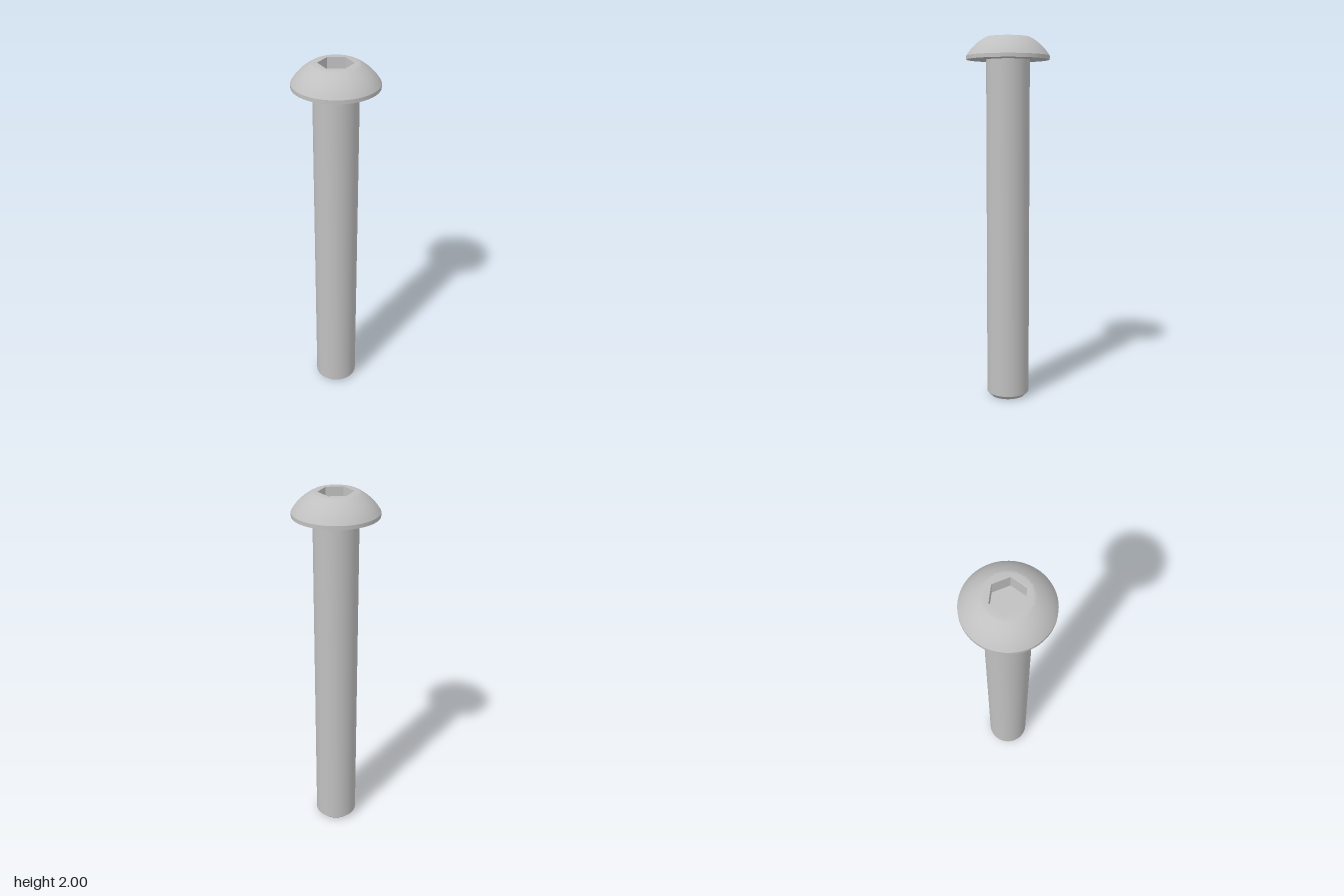
import * as THREE from 'three';
import { mergeGeometries, toCreasedNormals } from 'three/addons/utils/BufferGeometryUtils.js';

const SEGMENTS = 64;
const CREASE = Math.PI / 6;

const lathe = (points, segments = SEGMENTS, start = 0) =>
  new THREE.LatheGeometry(points.map(([r, y]) => new THREE.Vector2(r, y)), segments, start);

const ring = (radius, count) => Array.from({ length: count }, (_, i) => {
  const a = (i / count) * Math.PI * 2;
  return new THREE.Vector2(radius * Math.cos(a), radius * Math.sin(a));
});

export function createModel() {
  const steel = new THREE.MeshStandardMaterial({ color: 0xc0c0c0 });
  steel.name = 'steel';
  const model = new THREE.Group();
  model.name = 'buttonHeadScrew';

  const add = (name, geometry) => {
    const mesh = new THREE.Mesh(toCreasedNormals(geometry, CREASE), steel);
    mesh.name = name;
    model.add(mesh);
  };

  const shankR = 0.118, headR = 0.225, topR = 0.116, socketR = 0.091;
  const headY = 1.88, rimY = 1.9, topY = 2, floorY = 1.92;

  // Shank with a chamfered tip
  add('shank', lathe([[0, 0], [0.096, 0], [shankR, 0.022], [shankR, headY]]));

  // Head: flat underside, short rim, and a dome arc centred on the axis
  const centreY = 1.764;
  const domeR = Math.hypot(topR, topY - centreY);
  const a0 = Math.atan2(rimY - centreY, headR);
  const a1 = Math.atan2(topY - centreY, topR);
  const profile = [[shankR, headY], [headR, headY], [headR, rimY]];
  for (let i = 1; i < 10; i++) {
    const a = a0 + (a1 - a0) * i / 10;
    profile.push([domeR * Math.cos(a), centreY + domeR * Math.sin(a)]);
  }
  profile.push([topR, topY]);

  // Flat top with a hexagonal opening, blended into the dome
  const topShape = new THREE.Shape(ring(topR, SEGMENTS));
  topShape.holes.push(new THREE.Path(ring(socketR, 6)));
  const top = new THREE.ShapeGeometry(topShape, 1).rotateX(-Math.PI / 2).translate(0, topY, 0);
  add('head', mergeGeometries([lathe(profile), top]));

  // Hex socket: inward-facing walls and floor
  add('hexSocket', lathe([[socketR, topY], [socketR, floorY], [0, floorY]], 6, Math.PI / 2));

  return model;
}
